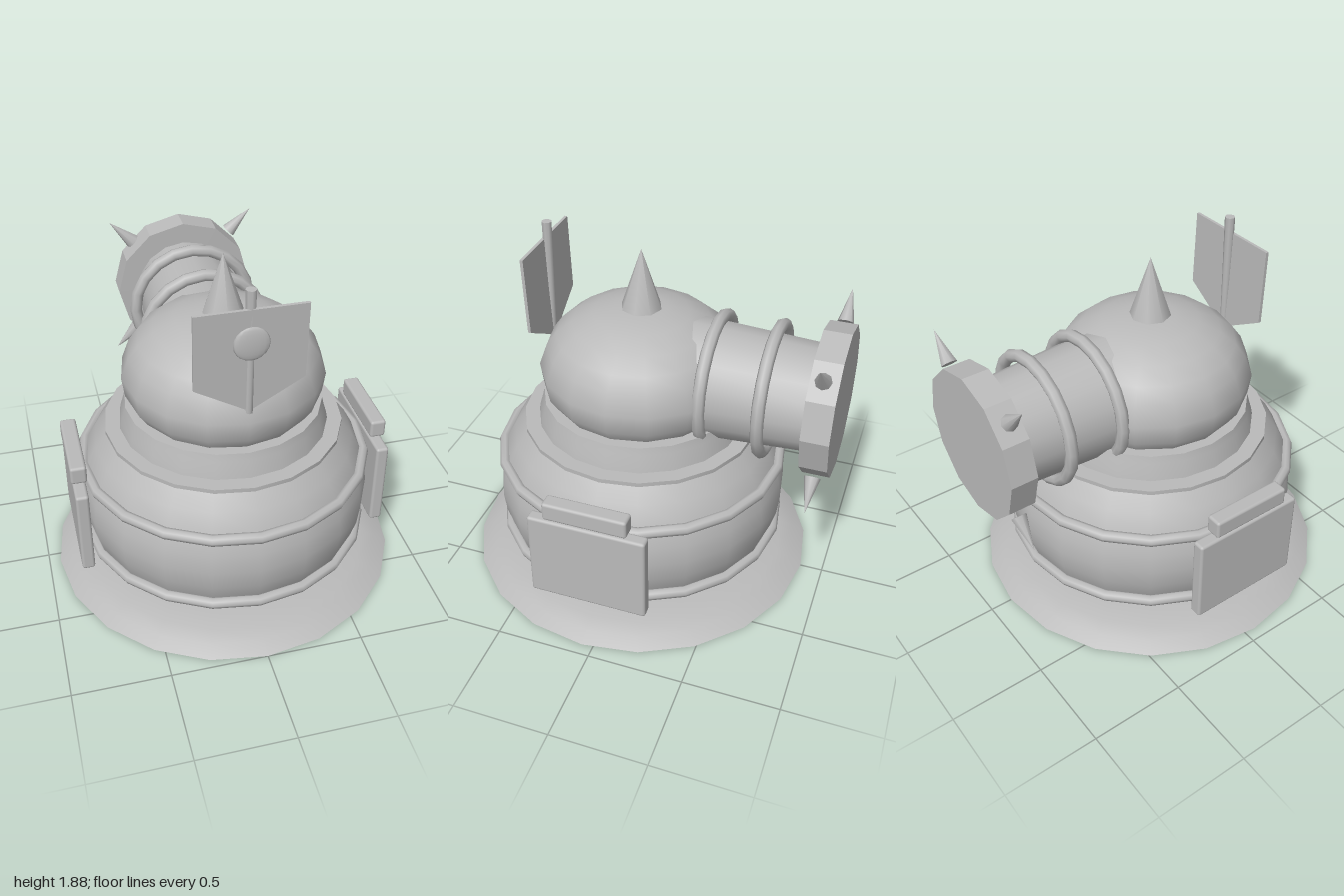
import * as THREE from 'three';
import { toCreasedNormals } from 'three/addons/utils/BufferGeometryUtils.js';
import { RoundedBoxGeometry } from 'three/addons/geometries/RoundedBoxGeometry.js';

const AXIS_Z = 0.06;   // the round body stands slightly forward of centre
const BARREL_Y = 1.15; // height of the rear barrel's axis

export function createModel() {
  const model = new THREE.Group();
  model.name = 'model';
  const grey = new THREE.MeshStandardMaterial({ color: 0xbababa });
  grey.name = 'plain grey';

  const add = (name, geometry, x = 0, y = 0, z = 0, parent = model) => {
    const mesh = new THREE.Mesh(geometry, grey);
    mesh.name = name;
    mesh.position.set(x, y, z);
    parent.add(mesh);
    return mesh;
  };
  const lathe = (points, segments) =>
    new THREE.LatheGeometry(points.map(([r, y]) => new THREE.Vector2(r, y)), segments);
  const creased = (geometry, angle = 0.6) => toCreasedNormals(geometry, angle);

  // Flared foot with a closed underside
  add('foot', creased(lathe([
    [0, 0], [0.94, 0], [0.87, 0.04], [0.80, 0.065], [0.70, 0.08], [0.60, 0.09], [0, 0.09],
  ], 20)), 0, 0, AXIS_Z);

  // Barrel-shaped body
  add('body', lathe([
    [0.645, 0.07], [0.735, 0.2], [0.775, 0.34], [0.787, 0.45], [0.775, 0.55],
    [0.745, 0.66], [0.69, 0.76], [0.62, 0.85],
  ], 20), 0, 0, AXIS_Z);
  for (const [name, y] of [['lowerBodyBand', 0.22], ['upperBodyBand', 0.65]]) {
    add(name, new THREE.TorusGeometry(0.757, 0.03, 8, 20).rotateX(Math.PI / 2), 0, y, AXIS_Z);
  }
  add('bodyRim', creased(new THREE.CylinderGeometry(0.63, 0.63, 0.028, 20)), 0, 0.846, AXIS_Z);

  // Collar and domed head
  add('collar', creased(lathe([
    [0.555, 0.85], [0.545, 0.9], [0.53, 0.95], [0.52, 0.99], [0, 0.99],
  ], 20)), 0, 0, AXIS_Z);
  add('head', lathe([
    [0.465, 0.985], [0.515, 1.06], [0.53, 1.17], [0.49, 1.28], [0.44, 1.35],
    [0.36, 1.415], [0.25, 1.465], [0.13, 1.492], [0, 1.495],
  ], 16), 0, 0, AXIS_Z);
  add('topSpike', creased(new THREE.ConeGeometry(0.11, 0.33, 8), 0.9), 0, 1.645, AXIS_Z);

  // Rear barrel, tapering backwards, with two hoops and a faceted end cap
  const barrel = new THREE.Group();
  barrel.name = 'barrel';
  barrel.position.y = BARREL_Y;
  model.add(barrel);
  add('barrelTube', creased(
    new THREE.CylinderGeometry(0.318, 0.275, 0.86, 16).rotateX(Math.PI / 2)
  ), 0, -0.005, -0.47, barrel);
  for (const z of [-0.345, -0.64]) {
    add('barrelHoop', new THREE.TorusGeometry(0.328, 0.033, 8, 20), 0, 0, z, barrel);
  }
  add('barrelCap', creased(
    new THREE.CylinderGeometry(0.386, 0.386, 0.14, 12).rotateX(Math.PI / 2), 0.3
  ), 0, 0, -0.93, barrel);
  for (let i = 0; i < 4; i++) {
    const angle = Math.PI / 4 + i * Math.PI / 2;
    const spike = add('capSpike', creased(new THREE.ConeGeometry(0.042, 0.18, 8), 0.9),
      Math.cos(angle) * 0.49, Math.sin(angle) * 0.49, -0.926, barrel);
    spike.rotation.z = angle - Math.PI / 2;
  }

  // Pointed crest plate on the brow, leaning slightly forward at the top
  const outline = new THREE.Shape([
    [-0.27, 1.79], [-0.27, 1.39], [0, 1.23], [0.27, 1.39], [0.27, 1.79],
  ].map(([x, y]) => new THREE.Vector2(x, y - 1.51)));
  const crest = add('crestPlate',
    new THREE.ExtrudeGeometry(outline, { depth: 0.016, bevelEnabled: false }), 0, 1.51, 0.557);
  crest.rotation.x = 0.035;
  add('crestPole', creased(new THREE.CylinderGeometry(0.026, 0.02, 0.66, 8), 0.9), 0, 1.55, 0.557);
  add('crestBoss', new THREE.SphereGeometry(0.088, 16, 10).scale(1, 1, 0.18), 0, 1.615, 0.584);

  // Mirrored side plates with a small block above each
  for (const [side, s] of [['left', 1], ['right', -1]]) {
    add(side + 'SidePlate', new RoundedBoxGeometry(0.068, 0.49, 0.62, 2, 0.015), s * 0.806, 0.45, 0.06);
    add(side + 'SideBlock', new RoundedBoxGeometry(0.085, 0.1, 0.44, 2, 0.015), s * 0.806, 0.763, 0.06);
  }
  return model;
}
